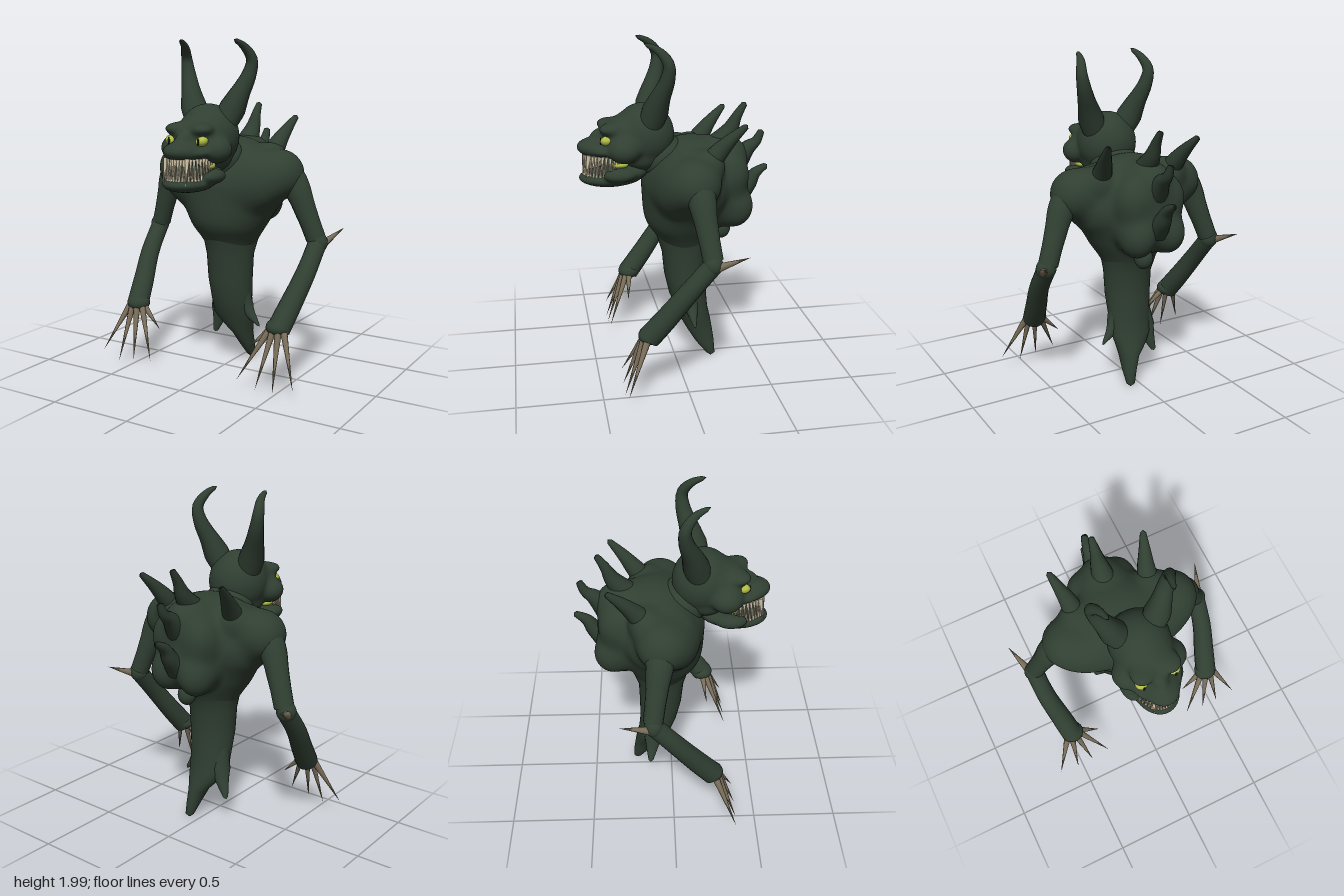
import * as THREE from 'three';
import { mergeVertices } from 'three/addons/utils/BufferGeometryUtils.js';

const mat = (name, color) => {
  const m = new THREE.MeshStandardMaterial({ color });
  m.name = name;
  return m;
};

export function createModel() {
  const skin = mat('dark green skin', 0x303f32);
  const claw = mat('horny claw', 0x7c705b);
  const ivory = mat('ivory teeth', 0xd6c9ad);
  const yellow = mat('yellow green', 0xaebb45);
  const black = mat('pupil black', 0x14170f);
  const model = new THREE.Group();
  model.name = 'hornedCreature';

  const add = (name, geo, material) => {
    const m = new THREE.Mesh(geo, material);
    m.name = name;
    model.add(m);
    return m;
  };
  const blob = (name, p, r, material = skin) => {
    const m = add(name, new THREE.SphereGeometry(1, 24, 16), material);
    m.position.set(...p);
    m.scale.set(...r);
    return m;
  };
  // Ellipsoids melted together: a sphere whose vertices move out to the blended surface
  const blend = (name, centre, reach, k, detail, lumps) => {
    const field = (x, y, z) => lumps.reduce((d, [[cx, cy, cz], [rx, ry, rz]]) => {
      const a = (x - cx) / rx, b = (y - cy) / ry, c = (z - cz) / rz;
      const k0 = Math.hypot(a, b, c), k1 = Math.hypot(a / rx, b / ry, c / rz);
      const e = k1 > 1e-6 ? k0 * (k0 - 1) / k1 : -Math.min(rx, ry, rz);
      const h = Math.max(k - Math.abs(d - e), 0) / k;
      return Math.min(d, e) - h * h * k / 4;
    }, 10);
    let geo = new THREE.IcosahedronGeometry(1, detail);
    geo.deleteAttribute('uv');
    geo.deleteAttribute('normal');
    geo = mergeVertices(geo);
    const pos = geo.attributes.position, v = new THREE.Vector3();
    for (let i = 0; i < pos.count; i++) {
      v.fromBufferAttribute(pos, i);
      let lo = 0, hi = reach;
      for (let n = 0; n < 18; n++) {
        const t = (lo + hi) / 2;
        if (field(centre[0] + v.x * t, centre[1] + v.y * t, centre[2] + v.z * t) < 0) lo = t;
        else hi = t;
      }
      pos.setXYZ(i, centre[0] + v.x * lo, centre[1] + v.y * lo, centre[2] + v.z * lo);
    }
    geo.computeVertexNormals();
    return add(name, geo, skin);
  };
  const pair = (p, r) => [[p, r], [[-p[0], p[1], p[2]], r]];
  // Tube through points with radii spread evenly along it, closed at both ends
  const taper = (name, pts, radii) => {
    const curve = new THREE.CatmullRomCurve3(pts.map(p => new THREE.Vector3(...p)));
    const n = 24, sides = 16;
    const geo = new THREE.TubeGeometry(curve, n, 1, sides);
    const pos = geo.attributes.position, v = new THREE.Vector3();
    for (let i = 0; i <= n; i++) {
      const c = curve.getPointAt(i / n);
      const f = (i / n) * (radii.length - 1), k = Math.min(Math.floor(f), radii.length - 2);
      const r = i === 0 || i === n ? 0 : THREE.MathUtils.lerp(radii[k], radii[k + 1], f - k);
      for (let j = 0; j <= sides; j++) {
        const q = i * (sides + 1) + j;
        v.fromBufferAttribute(pos, q).sub(c).multiplyScalar(r).add(c);
        pos.setXYZ(q, v.x, v.y, v.z);
      }
    }
    return add(name, geo, skin);
  };
  // Straight pointed cone from base to tip
  const spike = (name, base, tip, r, material, sides = 8) => {
    const a = new THREE.Vector3(...base), d = new THREE.Vector3(...tip).sub(a);
    const len = d.length();
    const m = add(name, new THREE.ConeGeometry(r, len, sides).translate(0, len / 2, 0), material);
    m.position.copy(a);
    m.quaternion.setFromUnitVectors(new THREE.Vector3(0, 1, 0), d.normalize());
    return m;
  };

  // Chest, shoulders and lumpy hump
  blend('upperBody', [0, 1.13, -0.12], 0.75, 0.06, 44, [
    [[0, 1.14, -0.07], [0.365, 0.26, 0.265]],
    [[0, 0.98, -0.06], [0.255, 0.22, 0.245]],
    [[0, 0.84, -0.075], [0.165, 0.2, 0.16]],
    [[0, 1.28, -0.13], [0.2, 0.135, 0.2]],
    ...pair([0.2, 1.265, -0.08], [0.19, 0.095, 0.15]),
    ...pair([0.23, 1.17, 0.03], [0.17, 0.15, 0.115]),
    ...pair([0.35, 1.215, -0.06], [0.133, 0.14, 0.145]),
    ...pair([0.24, 1.31, -0.16], [0.07, 0.07, 0.08]),
    [[0, 1.13, -0.26], [0.2, 0.26, 0.18]],
    [[0, 1.29, -0.31], [0.12, 0.12, 0.13]],
    ...pair([0.1, 1.0, -0.345], [0.1, 0.125, 0.115]),
    ...pair([0.12, 1.2, -0.33], [0.085, 0.11, 0.09]),
  ]);
  blob('humpBump', [0.02, 0.84, -0.29], [0.055, 0.065, 0.055]);

  // Trunk running down into the tail: y, centre x, half width, widest z, front z, back z
  const rings = [
    [0.95, 0, 0.19, -0.09, 0.12, -0.28], [0.86, 0, 0.185, -0.09, 0.125, -0.27],
    [0.8, 0, 0.168, -0.09, 0.105, -0.24], [0.7, 0, 0.147, -0.07, 0.075, -0.205],
    [0.55, 0, 0.14, -0.07, 0.06, -0.2], [0.42, 0, 0.13, -0.09, 0.03, -0.2],
    [0.32, 0, 0.13, -0.11, -0.01, -0.21], [0.25, 0.015, 0.1, -0.14, -0.04, -0.225],
    [0.18, 0.04, 0.06, -0.16, -0.08, -0.235], [0.1, 0.055, 0.042, -0.19, -0.13, -0.245],
    [0.02, 0.065, 0.027, -0.225, -0.195, -0.25], [0, 0.065, 0.005, -0.225, -0.22, -0.23],
  ];
  const S = 40, verts = [], faces = [];
  rings.forEach(([y, cx, w, zm, zf, zb], i) => {
    for (let j = 0; j < S; j++) {
      const a = (j / S) * Math.PI * 2, s = Math.sin(a);
      verts.push(cx + w * Math.cos(a), y, zm + s * (s > 0 ? zf - zm : zm - zb));
      if (i === rings.length - 1) continue;
      const p = i * S + j, q = i * S + (j + 1) % S;
      faces.push(p, q, p + S, q, q + S, p + S);
    }
  });
  const trunk = new THREE.BufferGeometry();
  trunk.setAttribute('position', new THREE.Float32BufferAttribute(verts, 3));
  trunk.setIndex(faces);
  trunk.computeVertexNormals();
  add('trunk', trunk, skin);

  // Ragged tail points
  taper('tailPointRight', [[-0.08, 0.52, -0.09], [-0.1, 0.32, -0.12], [-0.155, 0.15, -0.14]], [0.045, 0.06, 0.012]);
  taper('tailPointLeft', [[0.08, 0.52, -0.07], [0.11, 0.36, -0.09], [0.19, 0.25, -0.1]], [0.045, 0.045, 0.006]);

  // Row of spines down the back
  taper('spineTop', [[0, 1.34, -0.25], [0, 1.45, -0.34], [0, 1.53, -0.38], [0, 1.61, -0.43]], [0.08, 0.055, 0.032, 0.016]);
  taper('spineMiddle', [[0, 1.24, -0.37], [0, 1.33, -0.45], [0, 1.37, -0.5], [0, 1.44, -0.535]], [0.08, 0.055, 0.032, 0.018]);
  taper('spineLower', [[0, 1.03, -0.38], [0, 1.11, -0.46], [0, 1.17, -0.5], [0, 1.22, -0.575]], [0.08, 0.055, 0.035, 0.016]);

  // Skull with brows, cheeks and muzzle, then the jaw
  blob('neck', [0, 1.3, 0.07], [0.16, 0.14, 0.15]);
  blend('head', [0, 1.42, 0.28], 0.45, 0.035, 30, [
    [[0, 1.44, 0.18], [0.178, 0.188, 0.178]],
    [[0, 1.43, 0.3], [0.16, 0.125, 0.14]],
    [[0, 1.37, 0.4], [0.145, 0.045, 0.125]],
    [[0, 1.38, 0.475], [0.09, 0.053, 0.097]],
    [[0, 1.44, 0.41], [0.045, 0.05, 0.08]],
    ...pair([0.137, 1.38, 0.31], [0.083, 0.075, 0.09]),
    ...pair([0.085, 1.495, 0.385], [0.06, 0.033, 0.06]),
    [[0, 1.31, 0.2], [0.14, 0.08, 0.12]],
  ]);
  blend('jaw', [0, 1.21, 0.37], 0.35, 0.03, 22, [
    [[0, 1.195, 0.385], [0.135, 0.053, 0.18]],
    ...pair([0.135, 1.235, 0.34], [0.055, 0.042, 0.09]),
    [[0, 1.235, 0.26], [0.14, 0.06, 0.1]],
  ]);

  // Interlocking needle teeth around the muzzle
  const count = 26;
  for (let i = 0; i < count; i++) {
    const a = Math.PI * (-0.02 + 1.04 * i / (count - 1));
    const x = 0.128 * Math.cos(a), z = 0.365 + 0.18 * Math.sin(a);
    const vary = 0.015 * Math.sin(i * 2.7);
    spike('upperTooth', [x * 0.94, 1.34, z - 0.012], [x, 1.22 + vary, z], 0.01, ivory, 6);
    const b = a + 0.06, lx = 0.122 * Math.cos(b), lz = 0.365 + 0.175 * Math.sin(b);
    spike('lowerTooth', [lx, 1.2, lz], [lx * 0.98, 1.305 + vary, lz - 0.006], 0.01, ivory, 6);
  }

  // Paired parts
  for (const s of [1, -1]) {
    const side = s > 0 ? 'Left' : 'Right';
    const m = (x, y, z) => [x * s, y, z];

    taper('shoulderSpine' + side, [m(0.23, 1.28, -0.14), m(0.245, 1.38, -0.22), m(0.265, 1.45, -0.28), m(0.295, 1.54, -0.37)],
      [0.065, 0.055, 0.035, 0.015]);

    blob('eye' + side, m(0.1, 1.432, 0.408), [0.036, 0.028, 0.036], yellow).rotation.z = s * 0.3;
    blob('pupil' + side, m(0.097, 1.432, 0.4425), [0.007, 0.022, 0.004], black);
    blob('mouthCorner' + side, m(0.1, 1.29, 0.335), [0.032, 0.022, 0.05], yellow);
    spike('fang' + side, m(0.07, 1.345, 0.51), m(0.075, 1.185, 0.535), 0.014, ivory);

    taper('horn' + side, [m(0.085, 1.49, 0.16), m(0.155, 1.66, 0.115), m(0.208, 1.8, 0.07), m(0.222, 1.88, 0.068),
      m(0.2, 1.95, 0.12), m(0.18, 1.99, 0.2)], [0.065, 0.078, 0.054, 0.039, 0.027, 0.01]);

    taper('upperArm' + side, [m(0.34, 1.27, -0.07), m(0.435, 1.15, -0.08), m(0.495, 1.0, -0.1), m(0.56, 0.82, -0.125)],
      [0.07, 0.085, 0.068, 0.06, 0.058]);
    blob('elbow' + side, m(0.565, 0.82, -0.12), [0.06, 0.062, 0.055]);
    taper('forearm' + side, [m(0.565, 0.84, -0.14), m(0.552, 0.66, 0.01), m(0.52, 0.5, 0.13), m(0.49, 0.355, 0.245)],
      [0.055, 0.056, 0.06, 0.065, 0.068]);
    blob('hand' + side, m(0.49, 0.385, 0.225), [0.072, 0.05, 0.068]);
    spike('elbowSpike' + side, m(0.59, 0.81, -0.14), m(0.65, 0.885, -0.31), 0.026, claw);

    // Base x, z and tip x, y, z for each claw
    for (const [bx, bz, tx, ty, tz] of [
      [0.54, 0.25, 0.66, 0.085, 0.372], [0.51, 0.265, 0.535, 0.04, 0.378], [0.475, 0.265, 0.425, 0.05, 0.378],
      [0.445, 0.25, 0.3, 0.08, 0.372], [0.44, 0.23, 0.315, 0.245, 0.25],
    ]) spike('claw' + side, m(bx, 0.365, bz), m(tx, ty, tz), 0.021, claw);
  }
  return model;
}
